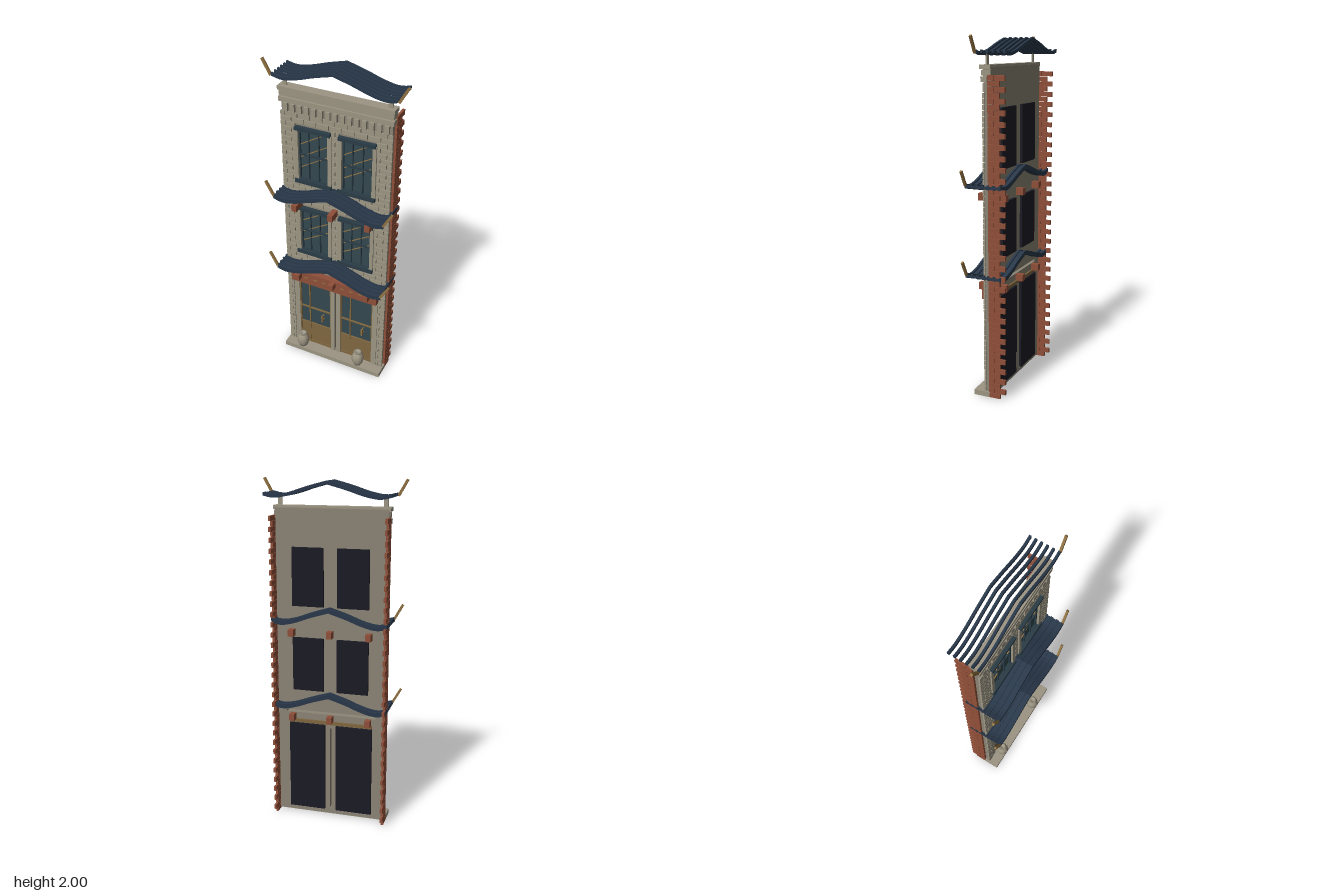
import * as THREE from 'three';
import { mergeGeometries } from 'three/addons/utils/BufferGeometryUtils.js';

const mat = (name, color) => Object.assign(new THREE.MeshStandardMaterial({ color }), { name });

export function createModel() {
  const M = {
    stone: mat('pale stone', 0x9c9583),
    wall: mat('wall stone', 0x8a8474),
    brick: mat('red brick', 0x8f4f39),
    roof: mat('navy roof', 0x29384a),
    gold: mat('aged gold', 0x8f7142),
    wood: mat('door wood', 0x7f663f),
    glass: mat('teal glass', 0x33484f),
    trim: mat('dark teal trim', 0x2a3c46),
    dark: mat('dark backing', 0x1b1b25),
  };
  const root = new THREE.Group();
  root.name = 'shopHouse';

  // Box given by its limits on each axis
  const boxGeo = (x0, x1, y0, y1, z0, z1) =>
    new THREE.BoxGeometry(x1 - x0, y1 - y0, z1 - z0).translate((x0 + x1) / 2, (y0 + y1) / 2, (z0 + z1) / 2);
  const add = (name, geo, m) => {
    const mesh = new THREE.Mesh(geo, m);
    mesh.name = name;
    root.add(mesh);
    return mesh;
  };
  const box = (name, m, ...lim) => add(name, boxGeo(...lim), m);
  // Slanted bar between two points in the xy plane
  const bar = (name, m, x0, y0, x1, y1, w, z, d) => {
    const geo = new THREE.BoxGeometry(Math.hypot(x1 - x0, y1 - y0), w, d);
    geo.rotateZ(Math.atan2(y1 - y0, x1 - x0)).translate((x0 + x1) / 2, (y0 + y1) / 2, z);
    return add(name, geo, m);
  };

  // Openings: [x0, x1, y0, y1]
  const windows = [];
  for (const [y0, y1] of [[0.8, 1.1], [1.3, 1.62]])
    for (const s of [-1, 1]) windows.push([s * 0.132 - 0.09, s * 0.132 + 0.09, y0, y1]);
  const doors = [[-0.25, -0.033, 0.03, 0.58], [0.033, 0.25, 0.03, 0.58]];
  const slits = [[-0.006, 0.006, 0.045, 0.56], [-0.27, 0.27, 0.645, 0.66]];

  // Main wall with openings
  const rectPath = (P, [x0, x1, y0, y1]) => {
    const p = new P();
    p.moveTo(x0, y0); p.lineTo(x1, y0); p.lineTo(x1, y1); p.lineTo(x0, y1); p.closePath();
    return p;
  };
  const wallShape = rectPath(THREE.Shape, [-0.322, 0.322, 0.01, 1.83]);
  wallShape.holes = [...windows, ...doors, ...slits].map(r => rectPath(THREE.Path, r));
  add('wall', new THREE.ExtrudeGeometry(wallShape, { depth: 0.045, bevelEnabled: false }).translate(0, 0, -0.035), M.wall);

  // Stone blocks in running bond, kept clear of the openings
  const blocks = [], rowH = 0.0305, pitch = 0.075;
  const clear = [...windows.map(([a, b, c, d]) => [a - 0.018, b + 0.018, c - 0.02, d + 0.02]), [-0.285, 0.285, 0, 0.66]];
  for (let r = 0; r < 55; r++) {
    const y = 0.03 + r * rowH, cy = y + rowH / 2;
    let spans = [[-0.33, 0.33]];
    for (const [a, b, c, d] of clear)
      if (cy > c && cy < d)
        spans = spans.flatMap(([p, q]) => [[p, Math.min(q, a)], [Math.max(p, b), q]]).filter(([p, q]) => q - p > 0.01);
    for (const [p, q] of spans)
      for (let x = -0.375 + (r % 2) * pitch / 2; x < 0.375; x += pitch) {
        const a = Math.max(p, x), b = Math.min(q, x + pitch);
        if (b - a > 0.012) blocks.push(boxGeo(a + 0.002, b - 0.002, y + 0.002, y + rowH - 0.002, 0.008, 0.019));
      }
  }
  add('stoneBlocks', mergeGeometries(blocks), M.stone);

  // Toothed brick edges on both sides
  const bricks = [];
  for (const s of [-1, 1])
    for (let r = 0; r < 60; r++)
      for (const [z0, z1] of r % 2 ? [[-0.115, -0.051], [-0.049, -0.015]] : [[-0.083, -0.015]])
        bricks.push(boxGeo(s * 0.328 - 0.007, s * 0.328 + 0.007, r * 0.03 + 0.001, r * 0.03 + 0.029, z0, z1));
  add('sideBricks', mergeGeometries(bricks), M.brick);

  // Base step
  box('baseStep', M.stone, -0.335, 0.335, 0, 0.03, -0.02, 0.08);

  // Windows
  for (const [x0, x1, y0, y1] of windows) {
    const cx = (x0 + x1) / 2, cy = (y0 + y1) / 2;
    box('windowGlass', M.glass, x0, x1, y0, y1, -0.005, 0.004);
    box('windowBacking', M.dark, x0 - 0.002, x1 + 0.002, y0 - 0.01, y1 + 0.005, -0.05, -0.034);
    for (const [a, b] of [[x0 - 0.022, x0], [x1, x1 + 0.022]])
      box('windowSurround', M.stone, a, b, y0, y1, 0, 0.028);
    for (const [a, b] of [[x0, x0 + 0.008], [x1 - 0.008, x1], [cx - 0.033, cx - 0.028], [cx + 0.028, cx + 0.033]])
      box('windowMullion', M.trim, a, b, y0, y1, 0.002, 0.014);
    box('windowRail', M.trim, x0, x1, cy - 0.005, cy + 0.005, 0.002, 0.016);
    box('windowSill', M.trim, x0 - 0.022, x1 + 0.022, y0 - 0.018, y0 + 0.006, 0, 0.036);
    box('windowHead', M.trim, x0 - 0.018, x1 + 0.018, y1 - 0.006, y1 + 0.014, 0, 0.036);
    // Slanted gold glints
    for (const a of [0.06, -0.02, -0.085]) {
      const run = Math.min(0.164, (y1 - cy - 0.012 - a) / 0.6);
      bar('glassGlint', M.gold, x0 + 0.008, cy + a, x0 + 0.008 + run, cy + a + run * 0.6, 0.004, 0.007, 0.006);
    }
  }

  // Shop doors
  doors.forEach(([x0, x1, y0, y1], i) => {
    box('doorGlass', M.glass, x0, x1, 0.2, y1, -0.005, 0.003);
    box('doorPanel', M.wood, x0, x1, y0, 0.205, -0.005, 0.008);
    box('doorBacking', M.dark, x0, x1, y0 + 0.01, y1, -0.05, -0.034);
    for (const x of [x0 + 0.004, x0 + 0.068, x1 - 0.004])
      box('doorStile', M.wood, x - 0.004, x + 0.004, 0.045, y1, 0, 0.012);
    for (const y of [0.05, 0.2, 0.335]) box('doorRail', M.wood, x0, x1, y - 0.004, y + 0.004, 0, 0.013);
    const hx = i ? 0.19 : -0.085;
    box('doorHandle', M.gold, hx - 0.005, hx + 0.005, 0.265, 0.315, 0.026, 0.037);
    for (const y of [0.27, 0.305]) box('handleMount', M.gold, hx - 0.003, hx + 0.003, y, y + 0.006, 0.002, 0.03);
  });
  for (const s of [-1, 1]) {
    box('doorJamb', M.stone, s * 0.267 - 0.017, s * 0.267 + 0.017, 0.03, 0.645, 0, 0.017);
    box('centrePost', M.stone, s * 0.0195 - 0.0135, s * 0.0195 + 0.0135, 0.03, 0.57, 0, 0.017);
  }

  // Red shop beam with studs and bracket ends that run through the wall
  box('shopBeam', M.brick, -0.285, 0.285, 0.562, 0.645, 0.01, 0.05);
  box('backBeam', M.wood, -0.25, 0.25, 0.585, 0.605, -0.045, -0.034);
  for (let i = 0; i < 9; i++) {
    const x = -0.24 + i * 0.06;
    box('beamStud', M.gold, x - 0.012, x + 0.012, 0.607, 0.613, 0.049, 0.053);
  }
  for (const y of [0.602, 1.115])
    for (const x of [-0.228, 0, 0.228]) box('bracket', M.brick, x - 0.016, x + 0.016, y, y + 0.04, -0.08, 0.09);

  // Cornice and dentils
  box('corniceTop', M.stone, -0.335, 0.335, 1.83, 1.852, -0.032, 0.03);
  box('corniceMiddle', M.stone, -0.33, 0.33, 1.795, 1.825, -0.03, 0.021);
  box('corniceCore', M.wall, -0.325, 0.325, 1.78, 1.84, -0.034, 0.013);
  box('corniceLower', M.stone, -0.333, 0.333, 1.762, 1.79, -0.01, 0.025);
  for (let i = 0; i < 15; i++) {
    const x = -0.294 + i * 0.042;
    box('dentil', M.stone, x - 0.013, x + 0.013, 1.71, 1.756, 0.005, 0.026);
  }
  for (const s of [-1, 1]) box('roofPost', M.stone, s * 0.302 - 0.012, s * 0.302 + 0.012, 1.85, 1.915, -0.004, 0.004);

  // Upswept roof strip: one curve extruded in z
  const strip = (half, peak, drop, thick, z0, z1) => {
    const right = new THREE.SplineCurve([[0, 0], [0.3, -0.38], [0.58, -0.8], [0.82, -1], [1, -0.85]]
      .map(([t, h]) => new THREE.Vector2(t * half, peak + h * drop))).getPoints(14);
    const top = [...right.slice(1).reverse().map(p => new THREE.Vector2(-p.x, p.y)), ...right];
    const under = top.map(p => new THREE.Vector2(p.x, p.y - thick)).reverse();
    return new THREE.ExtrudeGeometry(new THREE.Shape([...top, ...under]), { depth: z1 - z0, bevelEnabled: false }).translate(0, 0, z0);
  };
  const horns = (x, y, z) => {
    for (const s of [-1, 1]) bar('roofHorn', M.gold, s * x, y, s * (x + 0.049), y + 0.087, 0.014, z, 0.013);
  };
  // Two canopies with raised ribs
  for (const y of [0.78, 1.285]) {
    add('canopy', strip(0.337, y, 0.083, 0.016, -0.09, 0.122), M.roof);
    for (let i = 0; i < 7; i++) {
      const z = 0.118 - i * 0.0335;
      add('canopyRib', strip(0.338, y + 0.008, 0.083, 0.026, z - 0.007, z + 0.007), M.roof);
    }
    horns(0.336, y - 0.075, 0.119);
  }
  // Open top roof made of separate rafters
  for (let i = 0; i < 6; i++) {
    const z = 0.04 - i * 0.0326;
    add('topRafter', strip(0.357, 1.992, 0.076, 0.018, z - 0.0065, z + 0.0065), M.roof);
  }
  horns(0.36, 1.91, 0.041);

  // Ribbed urns beside the doors
  const profile = [[0, 0], [0.024, 0], [0.036, 0.025], [0.039, 0.055], [0.033, 0.08], [0.021, 0.09], [0.021, 0.097], [0.027, 0.105], [0.018, 0.105], [0, 0.09]]
    .map(([x, y]) => new THREE.Vector2(x, y));
  const urnGeo = new THREE.LatheGeometry(profile, 24);
  const pos = urnGeo.attributes.position;
  for (let i = 0; i < pos.count; i++) {
    const k = Math.floor(i / profile.length) % 2 ? 0.93 : 1;
    pos.setXYZ(i, pos.getX(i) * k, pos.getY(i), pos.getZ(i) * k);
  }
  urnGeo.computeVertexNormals();
  for (const x of [-0.217, 0.175]) add('urn', urnGeo, M.stone).position.set(x, 0.03, 0.052);

  return root;
}
